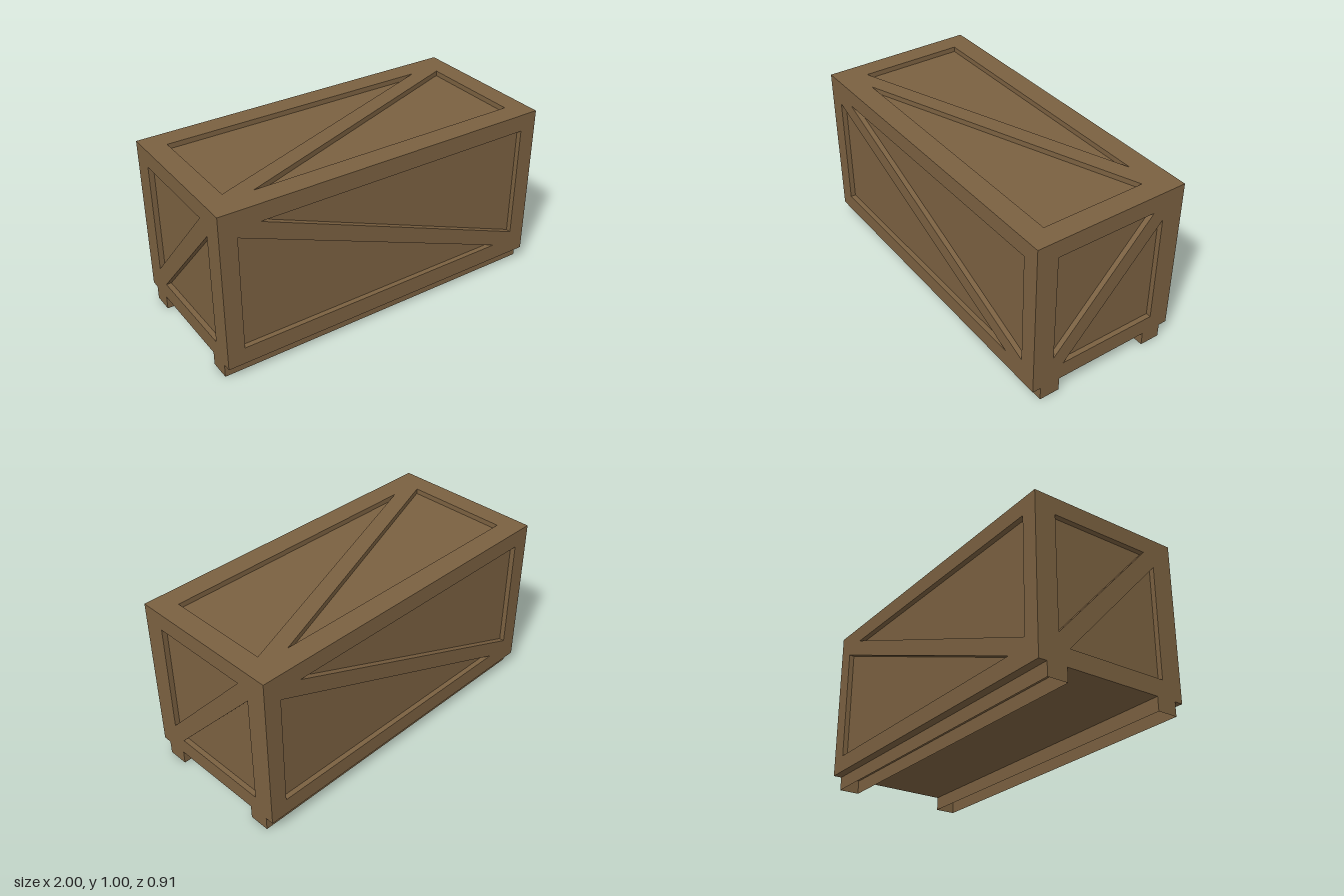
import * as THREE from 'three';

const WIDTH = 2, DEPTH = 0.91, BASE = 0.08, TOP = 1;
const HEIGHT = TOP - BASE, MID = (TOP + BASE) / 2;
const INSET = 0.03; // thickness of the braced frames

// Frame plate with a diagonal brace: one triangular opening and its half-turn twin
function braceGeometry(w, h, corners) {
  const shape = new THREE.Shape([
    [-w / 2, -h / 2], [w / 2, -h / 2], [w / 2, h / 2], [-w / 2, h / 2],
  ].map(([x, y]) => new THREE.Vector2(x, y)));
  for (const s of [1, -1]) {
    shape.holes.push(new THREE.Path(corners.map(([x, y]) => new THREE.Vector2(s * x, s * y))));
  }
  const geometry = new THREE.ExtrudeGeometry(shape, { depth: INSET, bevelEnabled: false });
  return geometry.translate(0, 0, -INSET); // outer surface at z = 0
}

// Runner: four walls, open underneath
function runnerGeometry() {
  const geometry = new THREE.BoxGeometry(WIDTH, BASE, 0.12);
  const index = Array.from(geometry.index.array);
  index.splice(12, 12); // drop top and bottom faces
  geometry.setIndex(index);
  geometry.clearGroups();
  return geometry;
}

export function createModel() {
  const crate = new THREE.Group();
  crate.name = 'crate';
  const wood = new THREE.MeshStandardMaterial({ color: 0x7a6040, side: THREE.DoubleSide });
  wood.name = 'brown wood';

  const add = (name, geometry, x, y, z) => {
    const mesh = new THREE.Mesh(geometry, wood);
    mesh.name = name;
    mesh.position.set(x, y, z);
    crate.add(mesh);
    return mesh;
  };

  // Recessed panels: an inner box behind the frames
  add('innerPanels',
    new THREE.BoxGeometry(WIDTH - 2 * INSET, HEIGHT - INSET, DEPTH - 2 * INSET),
    0, MID - INSET / 2, 0);

  // Front and back frames
  const longFrame = braceGeometry(WIDTH, HEIGHT, [[-0.9, 0.312], [-0.9, -0.36], [0.772, -0.36]]);
  add('frontFrame', longFrame, 0, MID, DEPTH / 2);
  add('backFrame', longFrame, 0, MID, -DEPTH / 2).rotation.y = Math.PI;

  // End frames
  const endFrame = braceGeometry(DEPTH, HEIGHT, [[-0.33, 0.36], [-0.33, -0.29], [0.265, 0.36]]);
  add('leftEndFrame', endFrame, WIDTH / 2, MID, 0).rotation.y = Math.PI / 2;
  add('rightEndFrame', endFrame, -WIDTH / 2, MID, 0).rotation.y = -Math.PI / 2;

  // Lid frame
  const lidFrame = braceGeometry(WIDTH, DEPTH, [[-0.88, 0.33], [-0.88, -0.28], [0.736, 0.33]]);
  add('lidFrame', lidFrame, 0, TOP, 0).rotation.x = -Math.PI / 2;

  // Runners under the crate
  const runner = runnerGeometry();
  add('frontRunner', runner, 0, BASE / 2, 0.346);
  add('backRunner', runner, 0, BASE / 2, -0.346);

  return crate;
}
